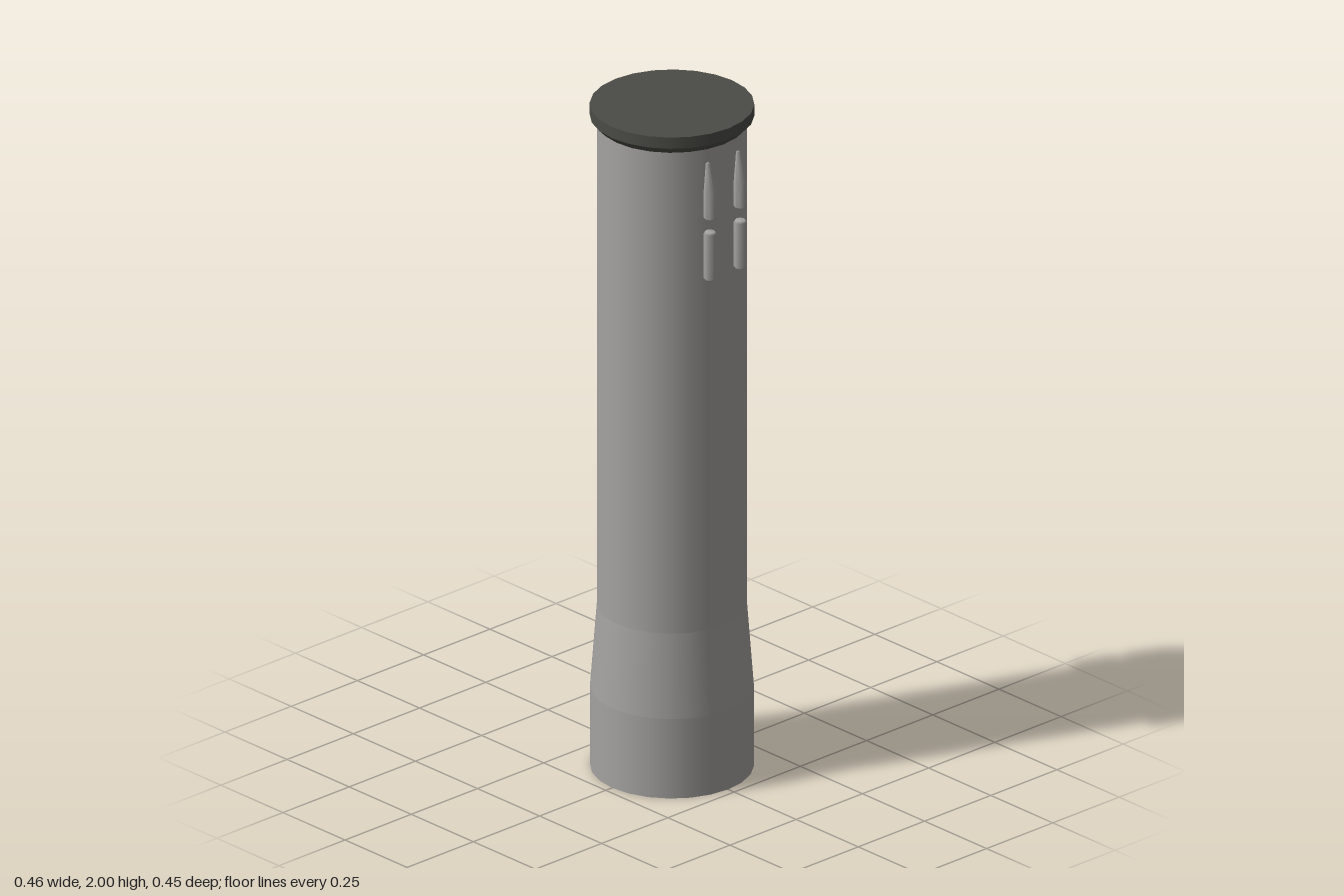
import * as THREE from 'three';

const SIDES = 24;

export function createModel() {
  const hull = new THREE.MeshStandardMaterial({ color: 0xa5a3a1 });
  hull.name = 'hull grey';
  const dark = new THREE.MeshStandardMaterial({ color: 0x4b4c46 });
  dark.name = 'dark grey';
  const darkInside = new THREE.MeshStandardMaterial({ color: 0x4b4c46, side: THREE.DoubleSide });
  darkInside.name = 'dark grey two sided';

  const model = new THREE.Group();
  const add = (name, geometry, material, parent = model) => {
    const mesh = new THREE.Mesh(geometry, material);
    mesh.name = name;
    parent.add(mesh);
    return mesh;
  };
  // Smooth tapered band between two heights
  const band = (y0, y1, r0, r1, open = true, sides = SIDES) =>
    new THREE.CylinderGeometry(r1, r0, y1 - y0, sides, 1, open).translate(0, (y0 + y1) / 2, 0);

  // Tank body, flare and skirt
  add('body', band(0.49, 1.95, 0.207, 0.207), hull);
  add('flare', band(0.24, 0.49, 0.226, 0.207), hull);
  add('skirt', band(0, 0.24, 0.226, 0.226), hull);

  // Top cap with a bevelled underside
  add('cap', band(1.966, 2, 0.227, 0.227, false), dark);
  add('capBevel', band(1.945, 1.966, 0.207, 0.227, false), dark);

  // Hollow engine bay under the skirt
  add('bayWall', band(0, 0.2, 0.214, 0.214), darkInside);
  add('bayRim', new THREE.RingGeometry(0.214, 0.226, SIDES).rotateX(Math.PI / 2), dark);
  add('bayCeiling', new THREE.CircleGeometry(0.214, SIDES).rotateX(Math.PI / 2).translate(0, 0.2, 0), dark);

  // Four engine bells on the axes
  const bell = new THREE.LatheGeometry(
    [[0.082, 0.03], [0.078, 0.07], [0.066, 0.12], [0.045, 0.17], [0.03, 0.2]]
      .map(([r, y]) => new THREE.Vector2(r, y)), 20);
  for (let i = 0; i < 4; i++) {
    const a = i * Math.PI / 2;
    add('engineBell', bell, darkInside).position.set(0.128 * Math.cos(a), 0, 0.128 * Math.sin(a));
  }

  // Side thrusters: a plain lower pod and a pointed upper pod, two pairs per side
  const podShape = points => new THREE.LatheGeometry(
    points.map(([r, y]) => new THREE.Vector2(r, y)), 8);
  const lowerPod = podShape([[0, 1.555], [0.013, 1.555], [0.018, 1.562], [0.018, 1.696], [0.014, 1.702], [0, 1.702]]);
  const upperPod = podShape([[0, 1.74], [0.016, 1.74], [0.018, 1.745], [0.018, 1.82], [0.007, 1.905], [0, 1.91]]);
  // Lean the nose towards the hull
  const p = upperPod.attributes.position;
  for (let i = 0; i < p.count; i++) if (p.getY(i) > 1.85) p.setX(i, p.getX(i) - 0.007);
  upperPod.computeVertexNormals();

  for (const side of [0, Math.PI]) {
    const pods = new THREE.Group();
    pods.name = side ? 'rightThrusters' : 'leftThrusters';
    pods.rotation.y = side;
    for (const z of [-0.057, 0.057]) {
      add('lowerPod', lowerPod, hull, pods).position.set(0.214, 0, z);
      add('upperPod', upperPod, hull, pods).position.set(0.214, 0, z);
    }
    model.add(pods);
  }
  return model;
}
